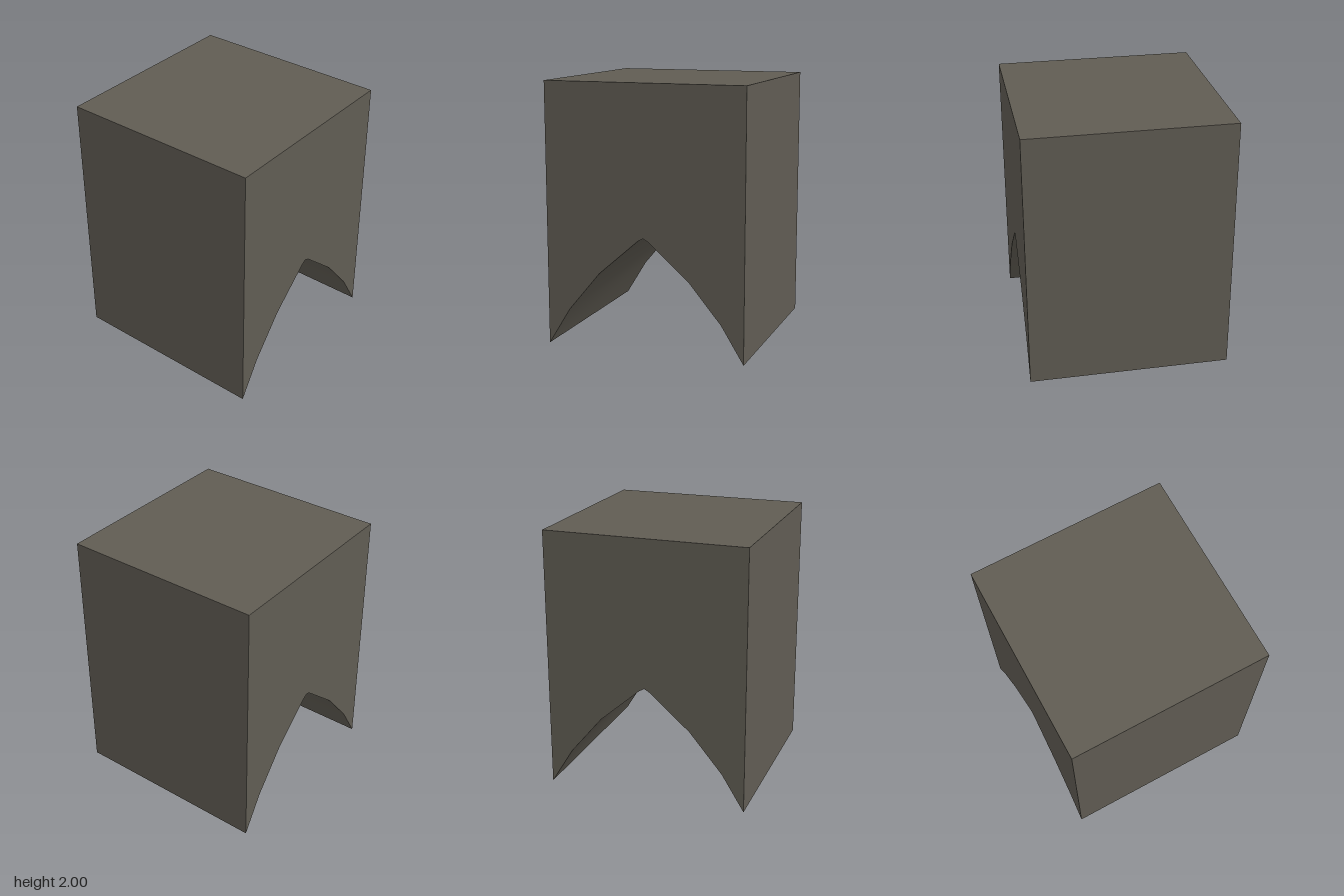
import * as THREE from 'three';
import { toCreasedNormals } from 'three/addons/utils/BufferGeometryUtils.js';

const HALF = 0.772;
const HEIGHT = 2;

// Right half of the pointed arch, from the foot up to the apex
const ARCH = [[HALF, 0], [0.6, 0.28], [0.35, 0.58], [0.04, 0.85], [0, 0.873]];

export function createModel() {
  const stone = new THREE.MeshStandardMaterial({ color: 0x605c53 });
  stone.name = 'darkStone';

  // Side outline: square top, arch cut out of the underside
  const mirrored = ARCH.slice(0, -1).reverse().map(([x, y]) => [-x, y]);
  const outline = [[-HALF, HEIGHT], ...mirrored.reverse(), ...[...ARCH].reverse(), [HALF, HEIGHT]];
  const shape = new THREE.Shape(outline.map(([x, y]) => new THREE.Vector2(x, y)));

  // Extrude across the width, so the arch opens to the left and right
  const extruded = new THREE.ExtrudeGeometry(shape, { depth: 2 * HALF, bevelEnabled: false });
  extruded.translate(0, 0, -HALF);
  extruded.rotateY(Math.PI / 2);

  // Smooth the curved underside, keep the block edges and apex sharp
  const block = new THREE.Mesh(toCreasedNormals(extruded, 0.3), stone);
  block.name = 'archBlock';

  const model = new THREE.Group();
  model.name = 'archedBlock';
  model.add(block);
  return model;
}
